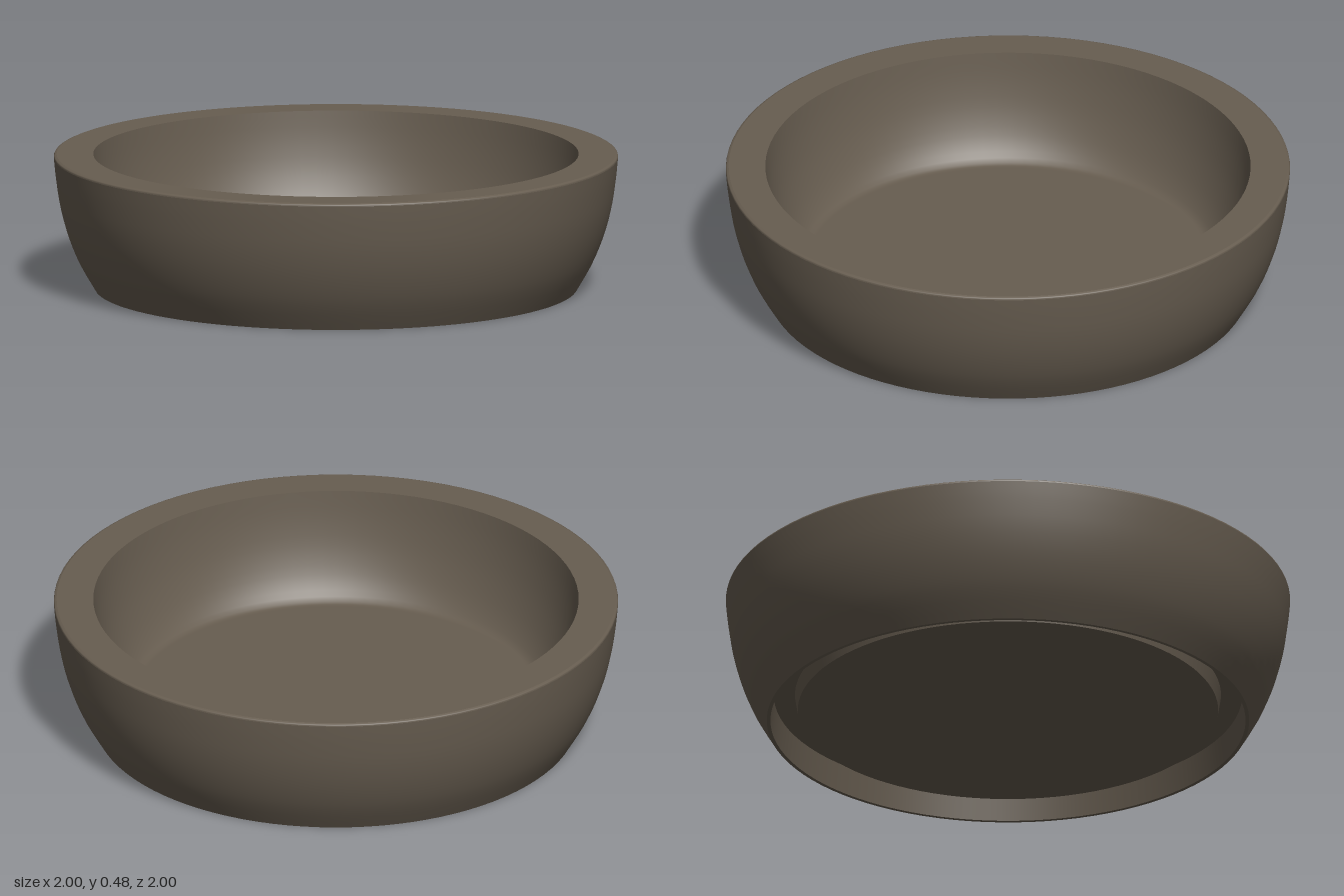
import * as THREE from 'three';

export function createModel() {
  const model = new THREE.Group();
  model.name = 'roundDish';
  const clay = new THREE.MeshStandardMaterial({ color: 0x675d50 });
  clay.name = 'brown clay';

  // Each part is a revolved profile; separate parts keep the edges between them crisp
  const part = (name, profile, smooth = false) => {
    let points = profile.map(([r, y]) => new THREE.Vector2(r, y));
    if (smooth) points = new THREE.SplineCurve(points).getPoints(16);
    const mesh = new THREE.Mesh(new THREE.LatheGeometry(points, 96), clay);
    mesh.name = name;
    model.add(mesh);
  };

  // Curved outside, from foot to rim
  part('outerWall', [[0.855, 0], [0.912, 0.1], [0.952, 0.2], [0.978, 0.3], [0.993, 0.4], [1, 0.47]], true);
  part('rimEdge', [[1, 0.47], [0.998, 0.476], [0.99, 0.48]], true);
  part('rim', [[0.99, 0.48], [0.86, 0.48]]);

  // Hollow with a soft turn into the floor
  part('innerWall', [[0.86, 0.48], [0.846, 0.38], [0.82, 0.27], [0.78, 0.17], [0.735, 0.108], [0.7, 0.1]], true);
  part('floor', [[0.7, 0.1], [0, 0.1]]);

  // Underside: raised base disc, groove and foot ring
  part('baseDisc', [[0, 0.04], [0.745, 0.04]]);
  part('baseDiscEdge', [[0.745, 0.04], [0.755, 0.1]]);
  part('grooveTop', [[0.755, 0.1], [0.83, 0.1]]);
  part('grooveWall', [[0.83, 0.1], [0.842, 0]]);
  part('footRing', [[0.842, 0], [0.855, 0]]);

  return model;
}
